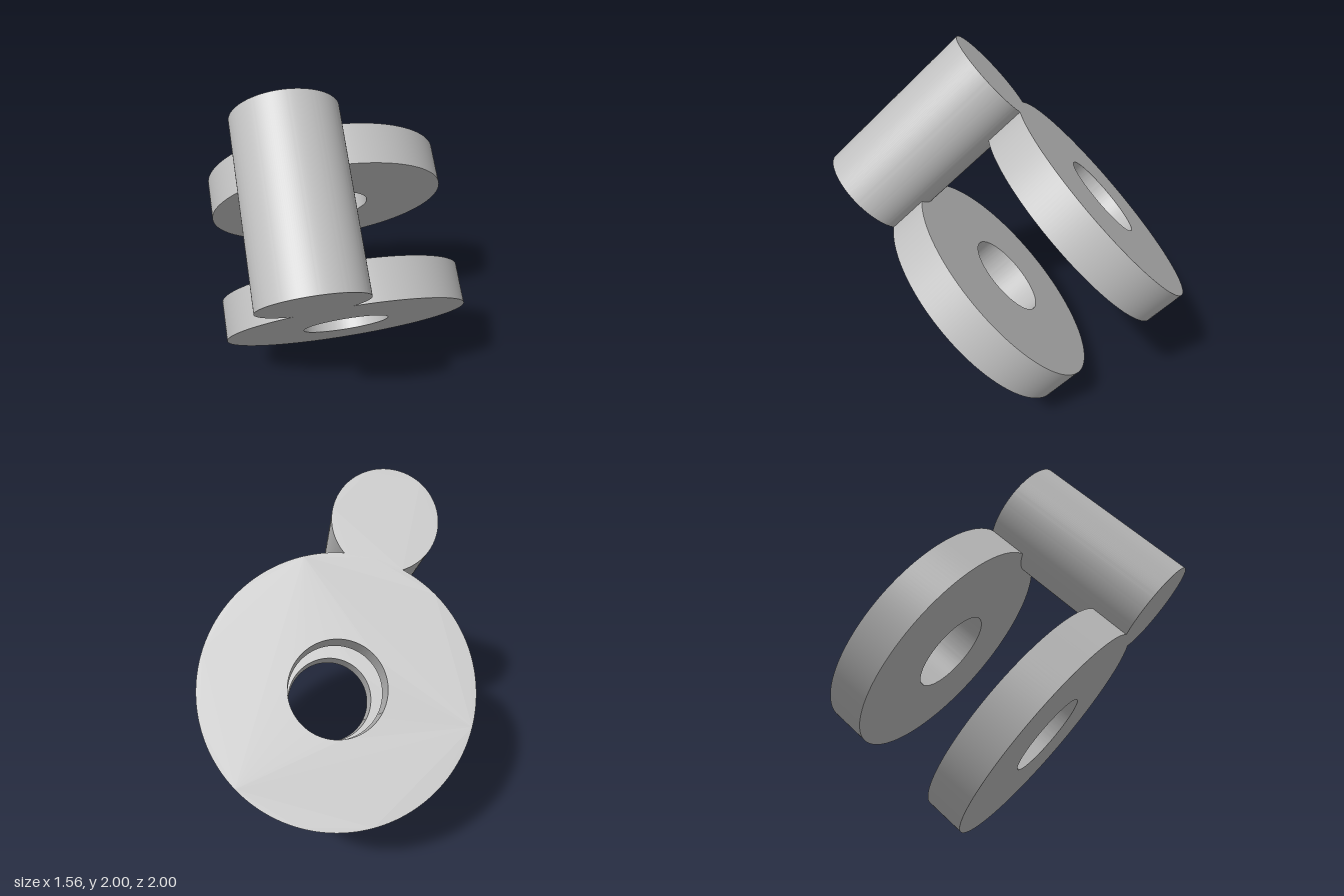
import * as THREE from 'three';
import { toCreasedNormals } from 'three/addons/utils/BufferGeometryUtils.js';

const DISC_R = 0.695, HOLE_R = 0.25, DISC_T = 0.227;
const PIN_R = 0.276, LENGTH = 0.961;

// Flat round plate with an optional centre hole, its front face at z = 0
function roundPlate(radius, depth, holeRadius = 0) {
  const shape = new THREE.Shape().absarc(0, 0, radius, 0, Math.PI * 2, false);
  if (holeRadius) shape.holes.push(new THREE.Path().absarc(0, 0, holeRadius, 0, Math.PI * 2, true));
  const geometry = new THREE.ExtrudeGeometry(shape, { depth, bevelEnabled: false, curveSegments: 96 });
  geometry.translate(0, 0, -depth);
  return toCreasedNormals(geometry, Math.PI / 6);
}

export function createModel() {
  const model = new THREE.Group();
  model.name = 'linkedDiscs';
  const lightGrey = new THREE.MeshStandardMaterial({ color: 0xc0c0c0 });
  lightGrey.name = 'lightGrey';

  // Tilted frame: z along the shared axis, y from the disc centres to the pin
  const zAxis = new THREE.Vector3(0.207, -0.67, 0.713).normalize();
  const toPin = new THREE.Vector3(-0.125, 0.635, 0.634);
  const pinOffset = toPin.length();
  const xAxis = new THREE.Vector3().crossVectors(toPin, zAxis).normalize();
  const yAxis = new THREE.Vector3().crossVectors(zAxis, xAxis);
  const assembly = new THREE.Group();
  assembly.name = 'tiltedAssembly';
  assembly.quaternion.setFromRotationMatrix(new THREE.Matrix4().makeBasis(xAxis, yAxis, zAxis));
  assembly.position.set(0.095, 0.516, 0.172);
  model.add(assembly);

  function addPart(name, geometry, y, z) {
    const mesh = new THREE.Mesh(geometry, lightGrey);
    mesh.name = name;
    mesh.position.set(0, y, z);
    assembly.add(mesh);
  }

  // Two pierced discs, flush with the ends of the pin that joins their rims
  const disc = roundPlate(DISC_R, DISC_T, HOLE_R);
  addPart('frontDisc', disc, 0, 0);
  addPart('rearDisc', disc, 0, DISC_T - LENGTH);
  addPart('connectingPin', roundPlate(PIN_R, LENGTH), pinOffset, 0);

  return model;
}
